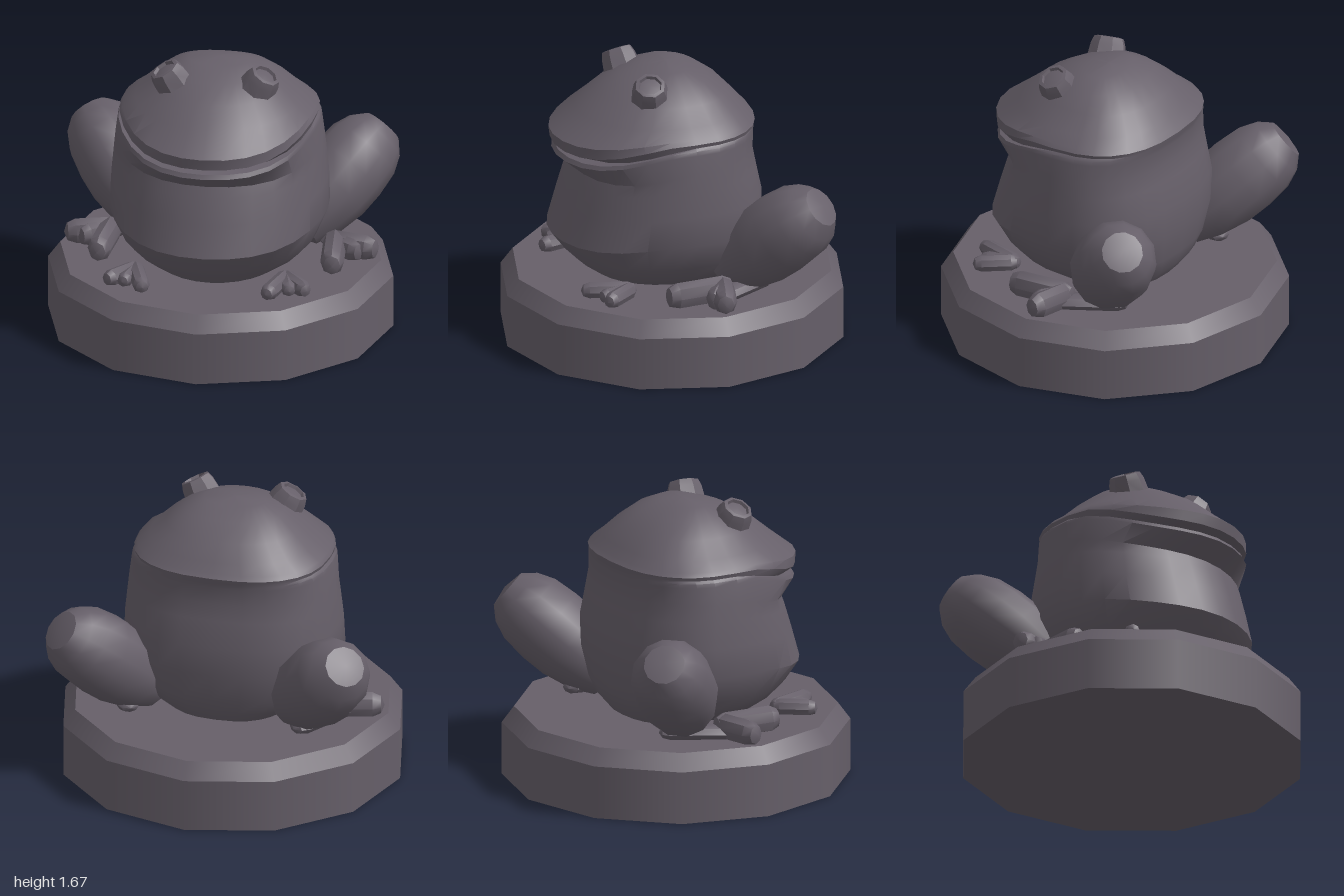
import * as THREE from 'three';
import { toCreasedNormals } from 'three/addons/utils/BufferGeometryUtils.js';

const stone = new THREE.MeshStandardMaterial({ color: 0x665f69 });
stone.name = 'dark stone';

function add(parent, name, geometry) {
  const mesh = new THREE.Mesh(geometry, stone);
  mesh.name = name;
  parent.add(mesh);
  return mesh;
}

// Body and head in one skin: [y, front z, back z, half width, rise toward the sides]
const BODY_ROWS = [
  [0.40, 0.46, -0.36, 0.36, 0],
  [0.48, 0.57, -0.42, 0.48, 0],
  [0.56, 0.65, -0.45, 0.56, 0.01],
  [0.665, 0.73, -0.475, 0.63, 0.07],
  [0.85, 0.67, -0.475, 0.625, 0.06],
  [1.00, 0.62, -0.44, 0.61, 0.07],
  [1.06, 0.595, -0.42, 0.60, 0.11],
  [1.15, 0.705, -0.425, 0.585, 0.125], // lower lip
  [1.175, 0.69, -0.43, 0.58, 0.125],
  [1.19, 0.63, -0.435, 0.565, 0.125], // mouth groove
  [1.215, 0.715, -0.44, 0.572, 0.122], // upper lip
  [1.28, 0.725, -0.415, 0.555, 0.08],
  [1.40, 0.57, -0.375, 0.485, 0.01],
  [1.50, 0.45, -0.29, 0.39, 0],
  [1.58, 0.31, -0.18, 0.29, 0],
  [1.63, 0.16, -0.06, 0.18, 0],
  [1.645, 0.05, 0.03, 0.02, 0],
];

function bodyGeometry() {
  const N = 28, positions = [], index = [];
  for (const [y, front, back, width, rise] of BODY_ROWS) {
    const mid = Math.min(0.05, (front + back) / 2);
    for (let i = 0; i < N; i++) {
      const a = (i / N) * Math.PI * 2, c = Math.cos(a), s = Math.sin(a);
      const power = c < -1e-6 ? 0.8 : 1; // squarer back
      const x = width * Math.sign(s) * Math.abs(s) ** power;
      const z = mid + (c > 0 ? front - mid : mid - back) * Math.sign(c) * Math.abs(c) ** power;
      positions.push(x, y + rise * THREE.MathUtils.smoothstep(front - z, 0, 0.6), z);
    }
  }
  const rows = BODY_ROWS.length;
  for (let r = 0; r < rows - 1; r++) {
    for (let i = 0; i < N; i++) {
      const a = r * N + i, b = r * N + (i + 1) % N;
      index.push(a, b, b + N, a, b + N, a + N);
    }
  }
  // close the crown and the underside
  for (let i = 1; i < N - 1; i++) {
    const top = (rows - 1) * N;
    index.push(top, top + i, top + i + 1, 0, i + 1, i);
  }
  const g = new THREE.BufferGeometry();
  g.setAttribute('position', new THREE.Float32BufferAttribute(positions, 3));
  g.setIndex(index);
  return toCreasedNormals(g, 0.6);
}

// Turned shape: profile points are [radius, distance along the axis]
function turned(profile, sides) {
  const points = profile.map(([r, h]) => new THREE.Vector2(r, h));
  return toCreasedNormals(new THREE.LatheGeometry(points, sides), 0.65);
}

function aim(mesh, position, direction) {
  mesh.position.set(...position);
  mesh.quaternion.setFromUnitVectors(
    new THREE.Vector3(0, 1, 0), new THREE.Vector3(...direction).normalize());
}

// Chunky toe lying on the plinth from one (x, z) point to another
function addToe(parent, name, [x1, z1], [x2, z2], radius, height) {
  const length = Math.hypot(x2 - x1, z2 - z1);
  const g = new THREE.CapsuleGeometry(radius, length, 2, 8);
  g.rotateX(Math.PI / 2);
  g.scale(1, height / (2 * radius), 1);
  g.rotateY(Math.atan2(x2 - x1, z2 - z1));
  g.translate((x1 + x2) / 2, 0.40 + height * 0.4, (z1 + z2) / 2);
  add(parent, name, toCreasedNormals(g, 0.75));
}

export function createModel() {
  const model = new THREE.Group();
  model.name = 'frogStatue';

  // Twelve-sided plinth with a bevelled rim
  const plinth = new THREE.Group();
  plinth.name = 'plinth';
  model.add(plinth);
  add(plinth, 'plinthWall', new THREE.CylinderGeometry(1, 1, 0.31, 12, 1, true)).position.y = 0.155;
  add(plinth, 'plinthBevel', new THREE.CylinderGeometry(0.93, 1, 0.095, 12, 1, true)).position.y = 0.3575;
  const top = add(plinth, 'plinthTop', new THREE.CircleGeometry(0.93, 12));
  top.rotation.x = -Math.PI / 2;
  top.position.y = 0.405;
  add(plinth, 'plinthBottom', new THREE.CircleGeometry(1, 12)).rotation.x = Math.PI / 2;

  add(model, 'body', bodyGeometry());

  for (const side of [1, -1]) {
    const label = side > 0 ? 'left' : 'right';
    const eachSide = (v) => [v[0] * side, ...v.slice(1)];

    // Eye stalk with a raised rim and a sunken disc
    const eye = add(model, label + 'Eye', turned([
      [0.15, -0.23], [0.115, -0.13], [0.103, -0.04], [0.088, 0],
      [0.068, 0.004], [0.062, -0.014], [0, -0.004],
    ], 8));
    aim(eye, eachSide([0.295, 1.625, 0.235]), eachSide([0.48, 0.85, 0.14]));

    // Hind leg: thick lobe leaning out and back
    const thigh = add(model, label + 'HindLeg', turned([
      [0, -0.05], [0.14, 0], [0.2, 0.14], [0.235, 0.3], [0.24, 0.45],
      [0.225, 0.6], [0.185, 0.70], [0.12, 0.77], [0, 0.79],
    ], 12));
    aim(thigh, eachSide([0.42, 0.49, -0.19]), eachSide([0.55, 0.62, -0.54]));

    // Hind foot
    const hind = new THREE.Group();
    hind.name = label + 'HindFoot';
    model.add(hind);
    const s = ([x, z]) => [x * side, z];
    addToe(hind, 'heel', s([0.52, -0.36]), s([0.68, -0.08]), 0.07, 0.09);
    addToe(hind, 'outerToe', s([0.66, -0.08]), s([0.845, -0.03]), 0.068, 0.155);
    addToe(hind, 'middleToe', s([0.66, -0.08]), s([0.77, 0.0]), 0.06, 0.14);
    addToe(hind, 'frontToe', s([0.65, -0.08]), s([0.675, 0.205]), 0.068, 0.16);

    // Front foot
    const fore = new THREE.Group();
    fore.name = label + 'FrontFoot';
    model.add(fore);
    addToe(fore, 'outerToe', s([0.45, 0.42]), s([0.555, 0.555]), 0.048, 0.1);
    addToe(fore, 'middleToe', s([0.44, 0.42]), s([0.475, 0.56]), 0.045, 0.09);
    addToe(fore, 'innerToe', s([0.43, 0.42]), s([0.37, 0.63]), 0.05, 0.1);
  }
  return model;
}
